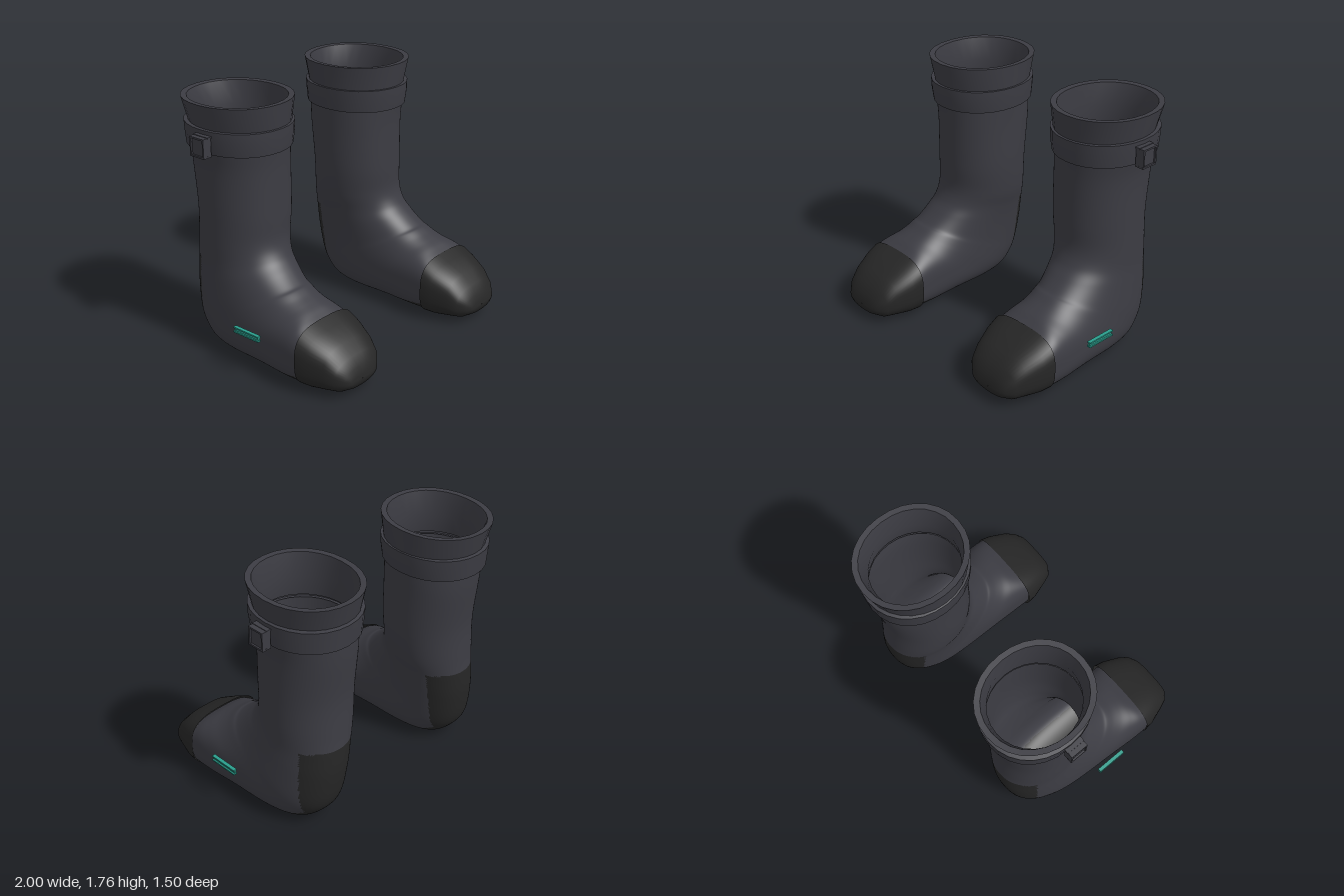
import * as THREE from 'three';
import { toCreasedNormals } from 'three/addons/utils/BufferGeometryUtils.js';

const fabric = new THREE.MeshStandardMaterial({ color: 0x3c3c43, side: THREE.DoubleSide });
fabric.name = 'charcoal fabric';
const rubber = new THREE.MeshStandardMaterial({ color: 0x262626, side: THREE.DoubleSide });
rubber.name = 'black rubber';
const teal = new THREE.MeshStandardMaterial({ color: 0x2a9d8c });
teal.name = 'teal trim';

// Section: front z, front y, back z, back y, centre x, half width, roundness exponent
const BODY = [
  [-0.02, 1.47, -0.70, 1.47, 0.595, 0.315, 2],
  [-0.03, 1.30, -0.69, 1.30, 0.585, 0.300, 2.1],
  [-0.03, 1.00, -0.66, 1.00, 0.585, 0.295, 2.1],
  [-0.03, 0.82, -0.665, 0.74, 0.595, 0.285, 2.1],
  [0.01, 0.71, -0.675, 0.58, 0.61, 0.270, 2.1],
  [0.08, 0.635, -0.672, 0.42, 0.625, 0.265, 2.2],
  [0.16, 0.57, -0.64, 0.22, 0.64, 0.265, 2.3],
  [0.20, 0.55, -0.58, 0.11, 0.645, 0.267, 2.4],
  [0.25, 0.52, -0.48, 0.035, 0.65, 0.270, 2.5],
  [0.30, 0.495, -0.30, 0.005, 0.655, 0.272, 2.6],
  [0.35, 0.47, 0.00, 0.012, 0.66, 0.276, 2.8],
  [0.39, 0.445, 0.25, 0.012, 0.665, 0.280, 3],
  [0.43, 0.42, 0.43, 0.017, 0.665, 0.282, 3],
];
const TOE = [
  [0.42, 0.435, 0.42, 0.012, 0.66, 0.295, 3],
  [0.50, 0.395, 0.50, 0.014, 0.66, 0.284, 3],
  [0.62, 0.333, 0.61, 0.022, 0.66, 0.245, 2.8],
  [0.69, 0.262, 0.68, 0.030, 0.66, 0.215, 2.6],
  [0.73, 0.200, 0.735, 0.060, 0.665, 0.160, 2.4],
  [0.745, 0.140, 0.75, 0.090, 0.67, 0.110, 2.2],
  [0.748, 0.116, 0.75, 0.114, 0.67, 0.002, 2],
];
// Cuff from the inner bottom, up over the rim and down the outside
const CUFF = [
  [-0.04, 1.46, -0.68, 1.46, 0.595, 0.295, 2],
  [-0.055, 1.60, -0.665, 1.60, 0.59, 0.285, 2],
  [-0.025, 1.765, -0.71, 1.752, 0.60, 0.305, 2.1],
  [0.015, 1.767, -0.75, 1.755, 0.60, 0.343, 2.1],
  [-0.008, 1.60, -0.715, 1.60, 0.59, 0.322, 2],
  [0.010, 1.60, -0.737, 1.595, 0.595, 0.337, 2.1],
  [0.008, 1.53, -0.732, 1.53, 0.595, 0.335, 2.1],
  [-0.004, 1.44, -0.725, 1.44, 0.595, 0.325, 2.1],
  [-0.04, 1.44, -0.68, 1.44, 0.595, 0.295, 2],
];

// Skin rounded sections; isDark(y, z) sends faces to the second material
function loft(sections, side, segments, sub, isDark = () => false) {
  const spline = new THREE.CubicInterpolant(sections.map((_, i) => i), sections.flat(), 7);
  const rings = (sections.length - 1) * sub;
  const pos = [], faces = [[], []];
  for (let i = 0; i <= rings; i++) {
    const [fz, fy, bz, by, cx, hw, n] = spline.evaluate(i / sub);
    for (let j = 0; j < segments; j++) {
      const t = (j / segments) * Math.PI * 2, c = Math.cos(t), s = Math.sin(t);
      const u = Math.sign(c) * Math.abs(c) ** (2 / n);
      const v = Math.sign(s) * Math.abs(s) ** (2 / n);
      pos.push(side * (cx + hw * v), (fy + by) / 2 + (u * (fy - by)) / 2, (fz + bz) / 2 + (u * (fz - bz)) / 2);
    }
  }
  for (let i = 0; i < rings; i++) {
    for (let j = 0; j < segments; j++) {
      const k = (j + 1) % segments;
      const a = i * segments + j, b = i * segments + k;
      const c = a + segments, d = b + segments;
      for (const [p, q, r] of [[a, c, b], [b, c, d]]) {
        const mid = (o) => (pos[p * 3 + o] + pos[q * 3 + o] + pos[r * 3 + o]) / 3;
        faces[isDark(mid(1), mid(2)) ? 1 : 0].push(...(side > 0 ? [p, q, r] : [p, r, q]));
      }
    }
  }
  const g = new THREE.BufferGeometry();
  g.setAttribute('position', new THREE.Float32BufferAttribute(pos, 3));
  g.setIndex([...faces[0], ...faces[1]]);
  g.addGroup(0, faces[0].length, 0);
  g.addGroup(faces[0].length, faces[1].length, 1);
  g.computeVertexNormals();
  return g;
}

function add(group, name, geometry, material) {
  const mesh = new THREE.Mesh(geometry, material);
  mesh.name = name;
  group.add(mesh);
  return mesh;
}

function box(group, name, material, w, h, d, x, y, z) {
  add(group, name, new THREE.BoxGeometry(w, h, d), material).position.set(x, y, z);
}

// Heel patch at the back and sole along the underside
const heelOrSole = (y, z) =>
  (z < -0.53 && y < 0.64) || y < 0.06 + Math.max(0, (z - 0.15) * 0.16, (-z - 0.4) * 0.5);

function makeBoot(side) {
  const boot = new THREE.Group();
  boot.name = side > 0 ? 'leftBoot' : 'rightBoot';
  add(boot, 'shaftAndFoot', loft(BODY, side, 120, 8, heelOrSole), [fabric, rubber]);
  add(boot, 'toeCap', loft(TOE, side, 48, 1), [rubber, rubber]);
  add(boot, 'cuff', toCreasedNormals(loft(CUFF, side, 28, 1), 0.7), [fabric, fabric]);

  // Buckle: block with a raised frame, hung from the cuff by a short tab
  const buckle = new THREE.Group();
  buckle.name = 'buckle';
  box(buckle, 'buckleBlock', fabric, 0.05, 0.11, 0.105, side * 0.958, 1.5, -0.345);
  box(buckle, 'buckleTab', fabric, 0.06, 0.01, 0.13, side * 0.93, 1.565, -0.345);
  for (const e of [-1, 1]) {
    box(buckle, 'frameRail', fabric, 0.066, 0.012, 0.125, side * 0.962, 1.5 + e * 0.06, -0.345);
    box(buckle, 'framePost', fabric, 0.066, 0.13, 0.012, side * 0.962, 1.5, -0.345 + e * 0.056);
  }
  boot.add(buckle);

  // Ribbed trim bar beside the foot
  const trim = new THREE.Group();
  trim.name = 'sideTrim';
  box(trim, 'trimCore', teal, 0.016, 0.03, 0.21, side * 0.982, 0.31, 0.038);
  for (const e of [-1, 1]) box(trim, 'trimRail', teal, 0.026, 0.01, 0.22, side * 0.987, 0.31 + e * 0.015, 0.038);
  boot.add(trim);
  return boot;
}

export function createModel() {
  const model = new THREE.Group();
  model.name = 'boots';
  model.add(makeBoot(1), makeBoot(-1));
  return model;
}
